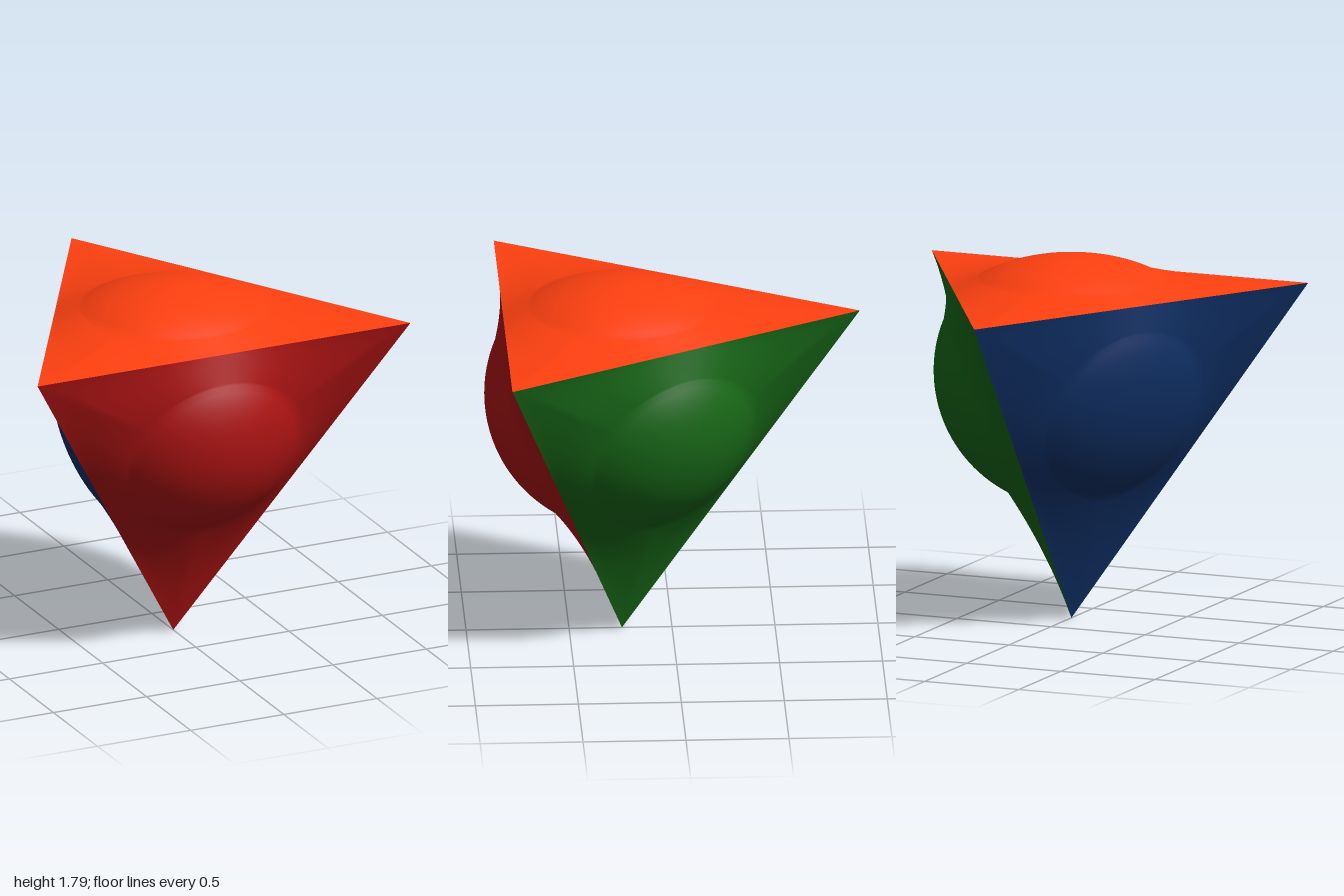
import * as THREE from 'three';

// Corners of a regular tetrahedron with edge 2, standing on its tip
const V = (x, y, z) => new THREE.Vector3(x, y, z);
const frontRight = V(-1, 1.633, 0.82);
const frontLeft = V(1, 1.633, 0.82);
const back = V(0, 1.633, -0.912);
const tip = V(0, 0, 0.243);

const SPHERE = 0.668, INNER = 0.408; // dome radius, centre-to-face distance
const INCIRCLE = 0.577, DOME = 0.45; // face incircle, rim of the dome
const domeAt = r => Math.sqrt(SPHERE * SPHERE - r * r) - INNER;

// Height over the flat face: spherical dome, then a skirt falling to the edge
function bulge(r, edge) {
  if (r <= DOME) return domeAt(r);
  const u = Math.min(1, (r - DOME) / (edge - DOME));
  return domeAt(DOME) * Math.pow(1 - u, edge / INCIRCLE);
}

// One puffed face; corners run counterclockwise seen from outside
function face(name, color, corners, scale) {
  const side = 36, inner = 16, outer = 16;
  const around = side * 3;
  const [a, b, c] = corners;
  const center = V(0, 0, 0).add(a).add(b).add(c).divideScalar(3);
  const normal = b.clone().sub(a).cross(c.clone().sub(a)).normalize();
  const top = center.clone().addScaledVector(normal, bulge(0, 1) * scale);
  const pos = [...top.toArray()];
  const index = [];
  const rings = inner + outer;

  for (let i = 1; i <= rings; i++) {
    for (let j = 0; j < around; j++) {
      const k = Math.floor(j / side);
      const ray = corners[k].clone().lerp(corners[(k + 1) % 3], (j % side) / side).sub(center);
      const edge = ray.length();
      const r = i <= inner ? DOME * i / inner : DOME + (edge - DOME) * (i - inner) / outer;
      const p = center.clone().addScaledVector(ray, r / edge)
        .addScaledVector(normal, bulge(r, edge) * scale);
      pos.push(p.x, p.y, p.z);
    }
  }
  const at = (i, j) => 1 + (i - 1) * around + (j % around);
  for (let j = 0; j < around; j++) {
    index.push(0, at(1, j), at(1, j + 1));
    for (let i = 1; i < rings; i++) {
      index.push(at(i, j), at(i + 1, j), at(i + 1, j + 1));
      index.push(at(i, j), at(i + 1, j + 1), at(i, j + 1));
    }
  }
  const geo = new THREE.BufferGeometry();
  geo.setAttribute('position', new THREE.Float32BufferAttribute(pos, 3));
  geo.setIndex(index);
  geo.computeVertexNormals();
  const mesh = new THREE.Mesh(geo, new THREE.MeshStandardMaterial({ color }));
  mesh.name = name;
  return mesh;
}

export function createModel() {
  const group = new THREE.Group();
  group.name = 'puffedTetrahedron';
  group.add(
    face('topFace', 0xff4010, [frontRight, frontLeft, back], 0.6),
    face('frontFace', 0xb01414, [tip, frontLeft, frontRight], 1),
    face('leftFace', 0x186818, [frontLeft, tip, back], 1),
    face('rightFace', 0x103066, [back, tip, frontRight], 0.62)
  );
  return group;
}
